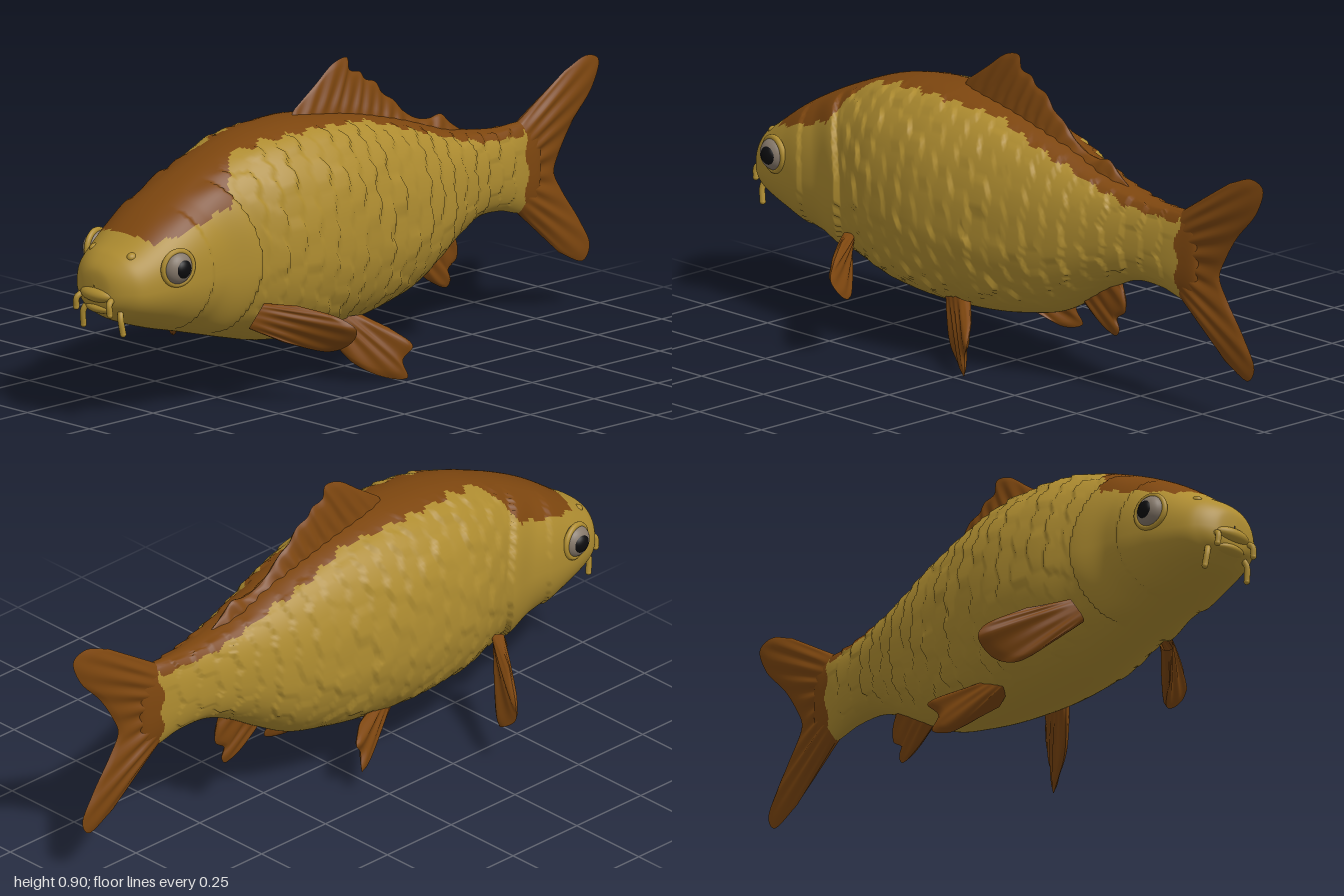
import * as THREE from 'three';

const mat = (name, color) => Object.assign(new THREE.MeshStandardMaterial({ color }), { name });
const gold = mat('gold scales', 0xae8c30);
const brown = mat('brown back and fins', 0x7d460f);
const iris = mat('grey iris', 0x85786a);
const black = mat('black pupil', 0x0c0c0e);

// Body stations along x: [x, top, bottom, half width]
const STATIONS = [
  [-0.982, 0.42, 0.40, 0.002], [-0.975, 0.465, 0.35, 0.06], [-0.945, 0.5, 0.325, 0.107], [-0.9, 0.53, 0.3, 0.138],
  [-0.8, 0.6, 0.265, 0.17], [-0.7, 0.655, 0.238, 0.181], [-0.6, 0.7, 0.21, 0.184], [-0.5, 0.738, 0.182, 0.2],
  [-0.4, 0.76, 0.157, 0.222], [-0.3, 0.77, 0.144, 0.229], [-0.2, 0.772, 0.14, 0.229], [-0.1, 0.762, 0.142, 0.217],
  [0, 0.745, 0.15, 0.2], [0.1, 0.72, 0.167, 0.18], [0.2, 0.69, 0.192, 0.157], [0.3, 0.655, 0.245, 0.13],
  [0.4, 0.622, 0.305, 0.1], [0.5, 0.6, 0.345, 0.073], [0.6, 0.588, 0.345, 0.052], [0.68, 0.59, 0.325, 0.038],
  [0.74, 0.58, 0.335, 0.026], [0.76, 0.48, 0.44, 0.002],
];
// Lower edge of the brown back, as [x, y]
const BACK_EDGE = [[-0.88, 0.57], [-0.85, 0.535], [-0.7, 0.575], [-0.6, 0.61], [-0.575, 0.66], [-0.52, 0.725], [-0.4, 0.748],
  [-0.2, 0.753], [0, 0.733], [0.2, 0.668], [0.4, 0.6], [0.5, 0.573], [0.68, 0.555]];

const step = THREE.MathUtils.smoothstep;
const hash = (a, b) => { const s = Math.sin(a * 127.1 + b * 311.7) * 43758.5453; return s - Math.floor(s); };

function isBrown(x, y) {
  if (x > 0.68 + 0.008 * Math.sin(y * 60)) return true;
  for (let i = 1; i < BACK_EDGE.length; i++) {
    const [x0, y0] = BACK_EDGE[i - 1], [x1, y1] = BACK_EDGE[i];
    if (x >= x0 && x < x1) return y > y0 + (y1 - y0) * (x - x0) / (x1 - x0) + 0.004 * Math.sin(x * 75);
  }
  return false;
}

// Overlapping scales: the scale nearest the head lies on top, each rising to its rear edge
function scaleHeight(x, arc) {
  const s = x / 0.062, t = arc / 0.074;
  for (let i = Math.floor(s) - 1; i <= Math.floor(s) + 1; i++) {
    const off = (i & 1) * 0.5, j = Math.round(t - off);
    const dx = s - i, dt = t - off - j;
    if (dx * dx + dt * dt * 2.2 < 1.25 && dx > -0.7) {
      return (0.35 + 0.5 * dx) * (0.55 + 0.7 * hash(i, j)) + 0.5 * dt * (hash(j, i) - 0.5);
    }
  }
  return 0;
}

function relief(x, y, a, w, h) {
  const gill = -0.52 - 1.7 * (y - 0.43) ** 2;
  const side = step(Math.abs(Math.cos(a)), 0.3, 0.7);
  // raised gill cover and cheek plate
  if (x < gill) {
    const cheek = gill - 0.17;
    return side * (0.014 * step(x, gill - 0.12, gill - 0.015) + (x < cheek ? 0.006 * step(x, cheek - 0.1, cheek) : 0));
  }
  const fade = step(x, gill, gill + 0.05) * (1 - step(x, 0.6, 0.7)) * step(Math.sin(a), -0.93, -0.65) * (1 - step(Math.sin(a), 0.88, 0.99));
  const arc = Math.atan2(Math.sin(a), Math.abs(Math.cos(a))) * (0.45 * w + 0.55 * h);
  return fade * 0.013 * (scaleHeight(x, arc) - 0.3);
}

function bodyGeometry() {
  const NU = 270, NV = 128, pos = [], golds = [], browns = [];
  const curves = [1, 2, 3].map(c => new THREE.SplineCurve(STATIONS.map(s => new THREE.Vector2(s[0], s[c]))));
  const power = (v, n) => Math.sign(v) * Math.abs(v) ** (2 / n);
  for (let i = 0; i <= NU; i++) {
    const [T, B, W] = curves.map(c => c.getPoint(i / NU));
    const yc = B.y + 0.45 * (T.y - B.y), w = Math.max(W.y, 0.001);
    for (let j = 0; j < NV; j++) {
      const a = (j / NV) * Math.PI * 2, up = Math.sin(a) > 0, n = up ? 2.3 : 2.05;
      const dz = w * power(Math.cos(a), n), dy = (up ? T.y - yc : yc - B.y) * power(Math.sin(a), n);
      const d = relief(T.x, yc + dy, a, w, (T.y - B.y) / 2) / (Math.hypot(dz, dy) + 1e-4);
      pos.push(T.x, yc + dy * (1 + d), dz * (1 + d));
    }
  }
  for (let i = 0; i < NU; i++) for (let j = 0; j < NV; j++) {
    const k = (j + 1) % NV, a = i * NV + j, b = a + NV, c = i * NV + k, d = c + NV;
    (isBrown((pos[a * 3] + pos[d * 3]) / 2, (pos[a * 3 + 1] + pos[d * 3 + 1]) / 2) ? browns : golds).push(a, b, c, b, d, c);
  }
  const g = new THREE.BufferGeometry();
  g.setAttribute('position', new THREE.Float32BufferAttribute(pos, 3));
  g.setIndex([...golds, ...browns]);
  g.addGroup(0, golds.length, 0);
  g.addGroup(golds.length, browns.length, 1);
  g.computeVertexNormals();
  return g;
}

const vecs = pts => pts.map(p => new THREE.Vector3(p[0], p[1], p[2] || 0));

// Solid fin swept from a root line to an outer edge, thinning outward, with raised rays
function finGeometry(root, outer, thickRoot, thickTip, rays) {
  const R = new THREE.CatmullRomCurve3(vecs(root)), O = new THREE.CatmullRomCurve3(vecs(outer));
  const NU = 14, NV = rays * 8, pos = [], idx = [];
  const du = O.getPoint(0.5).sub(R.getPoint(0.5)), dv = R.getPoint(1).sub(R.getPoint(0)).add(O.getPoint(1)).sub(O.getPoint(0));
  const n = du.cross(dv).normalize();
  for (const side of [1, -1]) {
    const base = pos.length / 3;
    for (let i = 0; i <= NU; i++) for (let j = 0; j <= NV; j++) {
      const u = i / NU, v = j / NV;
      const t = THREE.MathUtils.lerp(thickRoot, thickTip, u) * Math.sqrt(Math.max(0, 1 - (2 * v - 1) ** 4))
        * Math.sqrt(1 - u ** 8) * (0.85 + 0.15 * Math.cos(v * rays * Math.PI * 2) * Math.min(1, u * 3));
      const p = R.getPoint(v).lerp(O.getPoint(v), u).addScaledVector(n, t * side);
      pos.push(p.x, p.y, p.z);
      if (i < NU && j < NV) {
        const a = base + i * (NV + 1) + j, b = a + NV + 1;
        if (side > 0) idx.push(a, b, a + 1, b, b + 1, a + 1);
        else idx.push(a, a + 1, b, b, a + 1, b + 1);
      }
    }
  }
  const g = new THREE.BufferGeometry();
  g.setAttribute('position', new THREE.Float32BufferAttribute(pos, 3));
  g.setIndex(idx);
  g.computeVertexNormals();
  return g;
}

export function createModel() {
  const fish = new THREE.Group();
  fish.name = 'fish';
  brown.side = THREE.DoubleSide;
  const add = (name, geometry, material) => {
    const m = new THREE.Mesh(geometry, material);
    m.name = name;
    fish.add(m);
    return m;
  };
  const ball = (name, material, p, s) => {
    const m = add(name, new THREE.SphereGeometry(1, 28, 20), material);
    m.position.set(...p);
    m.scale.set(...s);
    return m;
  };
  const fin = (name, ...args) => add(name, finGeometry(...args), brown);

  add('body', bodyGeometry(), [gold, brown]);

  // Fins on the centre line
  fin('tailFin', [[0.67, 0.585], [0.68, 0.45], [0.67, 0.33]],
    [[0.86, 0.705], [0.95, 0.735], [0.995, 0.715], [0.97, 0.64], [0.89, 0.55], [0.845, 0.48], [0.82, 0.42], [0.85, 0.36],
      [0.92, 0.26], [0.96, 0.18], [0.935, 0.14], [0.84, 0.18]], 0.036, 0.009, 9);
  fin('dorsalFin', [[-0.22, 0.75], [0.0, 0.725], [0.2, 0.67], [0.46, 0.59]],
    [[-0.2, 0.785], [-0.12, 0.84], [-0.04, 0.895], [0.01, 0.9], [0.02, 0.862], [0.06, 0.85], [0.08, 0.825], [0.12, 0.81],
      [0.15, 0.77], [0.19, 0.745], [0.23, 0.705], [0.28, 0.675], [0.33, 0.665], [0.375, 0.67], [0.41, 0.64], [0.46, 0.605]],
    0.036, 0.008, 14);
  fin('analFin', [[0.26, 0.26], [0.42, 0.34]],
    [[0.27, 0.235], [0.34, 0.185], [0.4, 0.16], [0.415, 0.18], [0.405, 0.21], [0.44, 0.24], [0.435, 0.29], [0.425, 0.31]],
    0.026, 0.009, 5);

  // Paired fins, each side in its own pose
  fin('leftPectoralFin', [[-0.49, 0.31, 0.18], [-0.53, 0.24, 0.16]],
    [[-0.44, 0.31, 0.26], [-0.37, 0.28, 0.36], [-0.34, 0.245, 0.4], [-0.335, 0.2, 0.37], [-0.36, 0.17, 0.31], [-0.46, 0.2, 0.23]],
    0.022, 0.012, 5);
  fin('rightPectoralFin', [[-0.49, 0.3, -0.18], [-0.53, 0.23, -0.16]],
    [[-0.43, 0.265, -0.29], [-0.36, 0.2, -0.39], [-0.35, 0.165, -0.4], [-0.35, 0.12, -0.34], [-0.39, 0.11, -0.29], [-0.47, 0.17, -0.22]],
    0.022, 0.012, 5);
  fin('leftPelvicFin', [[-0.17, 0.19, 0.1], [-0.06, 0.19, 0.13]],
    [[-0.16, 0.13, 0.11], [-0.11, 0.06, 0.15], [-0.02, 0.01, 0.2], [0.025, 0.01, 0.23], [0.015, 0.06, 0.22], [0.04, 0.1, 0.235], [0.0, 0.15, 0.18]],
    0.02, 0.012, 5);
  fin('rightPelvicFin', [[-0.16, 0.19, -0.09], [-0.06, 0.21, -0.12]],
    [[-0.09, 0.14, -0.08], [-0.03, 0.1, -0.13], [0.02, 0.07, -0.17], [0.06, 0.08, -0.2], [0.05, 0.13, -0.185], [0.08, 0.17, -0.2], [0.02, 0.2, -0.15]],
    0.02, 0.012, 5);

  // Mouth
  ball('upperLip', gold, [-0.962, 0.392, 0], [0.036, 0.024, 0.065]);
  ball('lowerLip', gold, [-0.95, 0.352, 0], [0.036, 0.018, 0.055]);

  for (const [side, s] of [['left', 1], ['right', -1]]) {
    // Eyes with a raised socket rim
    ball(side + 'Eye', iris, [-0.812, 0.47, s * 0.163], [0.047, 0.047, 0.034]);
    ball(side + 'Pupil', black, [-0.812, 0.47, s * 0.181], [0.03, 0.03, 0.021]);
    const rim = add(side + 'EyeRim', new THREE.TorusGeometry(0.048, 0.009, 10, 32), gold);
    rim.position.set(-0.812, 0.47, s * 0.165);
    rim.rotation.y = s * -0.2;
    ball(side + 'Nostril', gold, [-0.905, 0.5, s * 0.075], [0.018, 0.014, 0.014]);
    // Barbels
    const barbels = [[[-0.935, 0.36, 0.06], [-0.95, 0.33, 0.075], [-0.945, 0.285, 0.08]],
      [[-0.955, 0.39, 0.055], [-0.985, 0.375, 0.065], [-0.985, 0.345, 0.068]]];
    barbels.forEach((pts, i) => {
      const path = new THREE.CatmullRomCurve3(vecs(pts.map(([x, y, z]) => [x, y, z * s])));
      add(side + (i ? 'UpperBarbel' : 'LowerBarbel'), new THREE.TubeGeometry(path, 12, 0.009, 10), gold);
      ball(side + 'BarbelTip', gold, [pts[2][0], pts[2][1], pts[2][2] * s], [0.009, 0.009, 0.009]);
    });
  }
  return fish;
}
